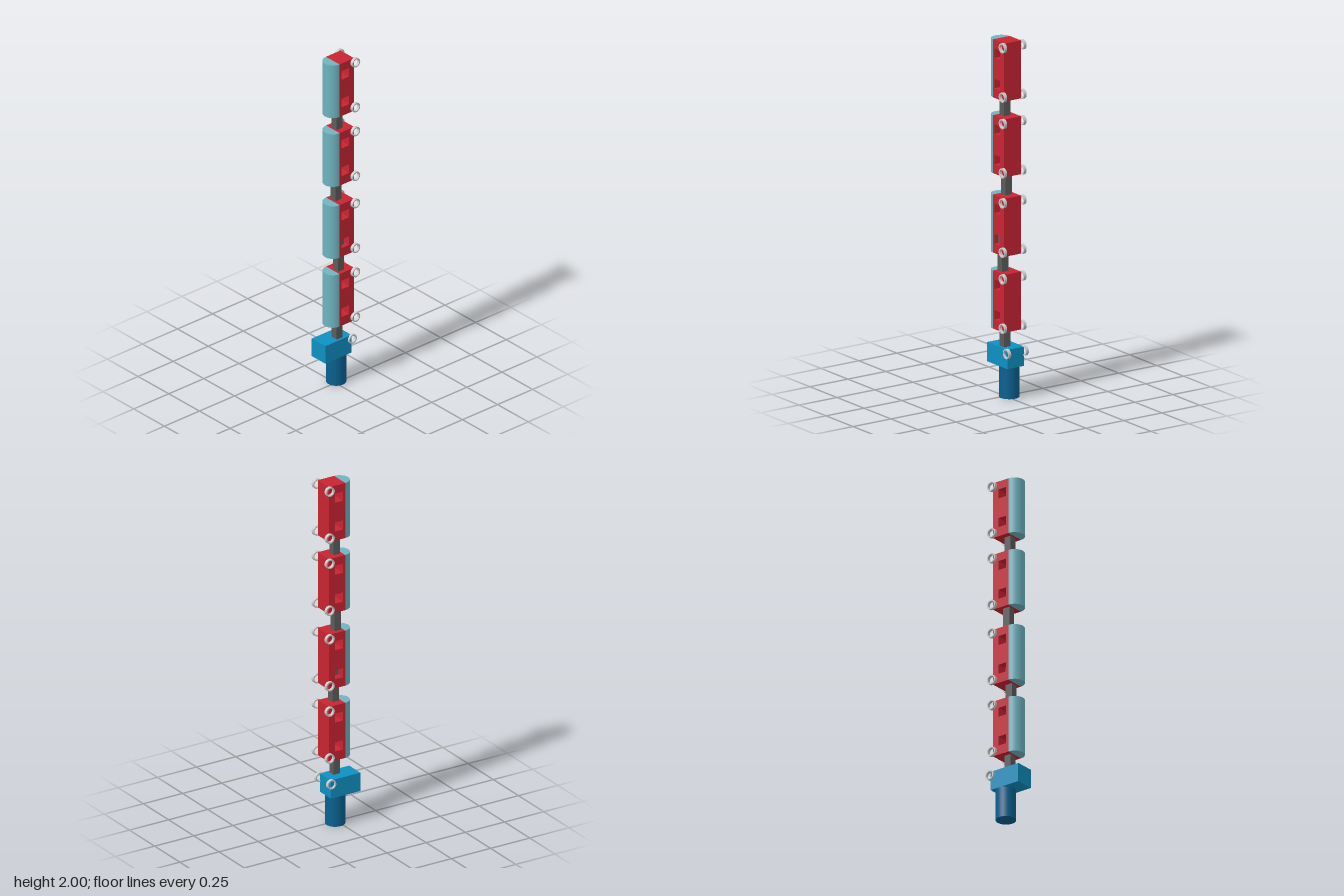
import * as THREE from 'three';

const mat = (color) => new THREE.MeshStandardMaterial({ color });
const RED = mat(0xc92432), TEAL = mat(0x6fb4c0), BLUE = mat(0x0e90c2);
const DEEP_BLUE = mat(0x0a6090), DARK = mat(0x5c5c5c), GREY = mat(0xcccccc);

function add(parent, name, geometry, material, x = 0, y = 0, z = 0) {
  const mesh = new THREE.Mesh(geometry, material);
  mesh.name = name;
  mesh.position.set(x, y, z);
  parent.add(mesh);
  return mesh;
}

// Extrude a (z, y) outline along x, from x = x1 - depth to x = x1
function extrudeX(shape, depth, x1, curveSegments = 12) {
  return new THREE.ExtrudeGeometry(shape, { depth, bevelEnabled: false, curveSegments })
    .rotateY(-Math.PI / 2).translate(x1, 0, 0);
}

function rect(Type, z0, z1, y0, y1) {
  const p = new Type();
  p.moveTo(z0, y0);
  p.lineTo(z1, y0);
  p.lineTo(z1, y1);
  p.lineTo(z0, y1);
  p.closePath();
  return p;
}

// Flat guide ring with its axis along x
const RING_W = 0.017;
const ringShape = new THREE.Shape().absarc(0, 0, 0.0275, 0, Math.PI * 2, false);
ringShape.holes.push(new THREE.Path().absarc(0, 0, 0.0205, 0, Math.PI * 2, true));
const ringGeometry = extrudeX(ringShape, RING_W, RING_W / 2, 16);

function ringPair(parent, xLeft, xRight, y) {
  add(parent, 'leftGuideRing', ringGeometry, GREY, xLeft, y, -0.081);
  add(parent, 'rightGuideRing', ringGeometry, GREY, xRight, y, -0.081);
}

// Segment block with two square windows through its sides
const SEG_H = 0.324;
const blockShape = rect(THREE.Shape, -0.08, 0.024, 0, SEG_H);
for (const y of [0.054, 0.224]) {
  blockShape.holes.push(rect(THREE.Path, -0.043, 0.009, y, y + 0.053));
}
const blockGeometry = extrudeX(blockShape, 0.111, 0.062);
const coverGeometry = new THREE.CylinderGeometry(0.0555, 0.0555, SEG_H, 32, 1, false, -Math.PI / 2, Math.PI);

function segment(y) {
  const group = new THREE.Group();
  group.name = 'segment';
  group.position.y = y;
  add(group, 'segmentBlock', blockGeometry, RED);
  add(group, 'roundedFrontCover', coverGeometry, TEAL, 0.0065, SEG_H / 2, 0.0235);
  ringPair(group, 0.0705, -0.0575, 0.025);
  ringPair(group, 0.0705, -0.0575, 0.301);
  return group;
}

export function createModel() {
  const model = new THREE.Group();
  model.name = 'segmentedArm';

  // Base: handle, block and its rings
  add(model, 'handle', new THREE.CylinderGeometry(0.055, 0.055, 0.176, 32), DEEP_BLUE, -0.015, 0.088, -0.019);
  add(model, 'baseBlock', new THREE.BoxGeometry(0.111, 0.108, 0.187), BLUE, -0.0145, 0.23, 0.0135);
  ringPair(model, 0.0435, -0.0725, 0.262);

  // Stacked segments
  for (const y of [0.383, 0.808, 1.252, 1.676]) model.add(segment(y));

  // Connecting posts: [x, bottom, top]
  const posts = [[0.005, 0.25, 0.43], [0.017, 0.67, 0.918], [-0.005, 1.09, 1.3], [0.005, 1.54, 1.725]];
  for (const [x, y0, y1] of posts) {
    add(model, 'connectingPost', new THREE.BoxGeometry(0.042, y1 - y0, 0.042), DARK, x, (y0 + y1) / 2, -0.008);
  }
  return model;
}
